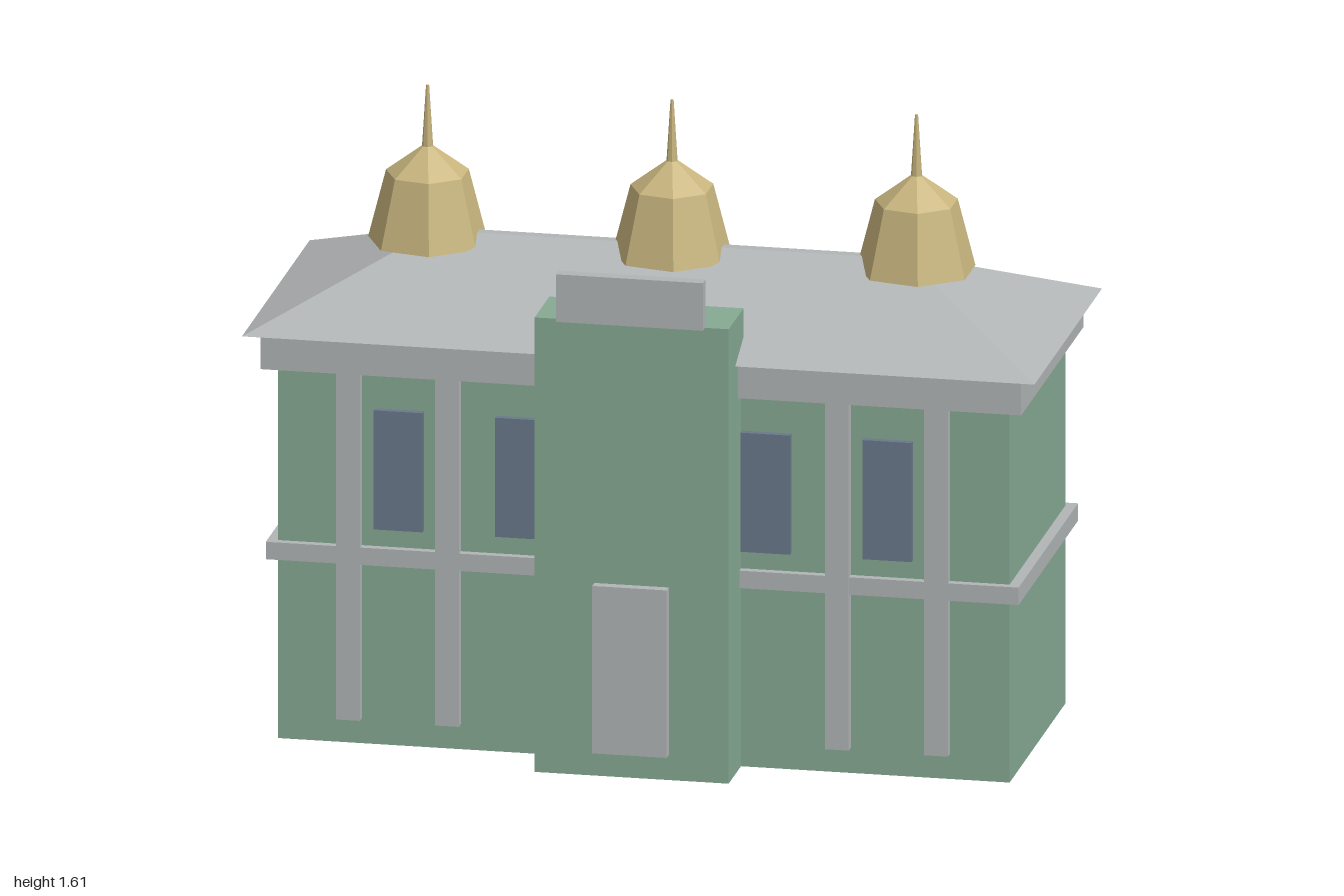
import * as THREE from 'three';

const material = (name, color) => {
  const m = new THREE.MeshStandardMaterial({ color, flatShading: true });
  m.name = name;
  return m;
};

export function createModel() {
  const model = new THREE.Group();
  model.name = 'domedHall';

  const green = material('wallGreen', 0x86aa94);
  const grey = material('trimGrey', 0xb2b5b6);
  const blue = material('windowBlue', 0x69798a);
  const gold = material('domeGold', 0xc8b57e);

  const add = (name, geometry, mat) => {
    const mesh = new THREE.Mesh(geometry, mat);
    mesh.name = name;
    model.add(mesh);
    return mesh;
  };

  // Box given by its extents on each axis
  const block = (name, mat, [x0, x1], [y0, y1], [z0, z1]) => {
    const mesh = add(name, new THREE.BoxGeometry(x1 - x0, y1 - y0, z1 - z0), mat);
    mesh.position.set((x0 + x1) / 2, (y0 + y1) / 2, (z0 + z1) / 2);
    return mesh;
  };

  // Main building, floor band and cornice
  block('walls', green, [-0.923, 0.923], [0, 0.97], [-0.392, 0.29]);
  block('floorBand', grey, [-0.95, 0.95], [0.467, 0.512], [-0.413, 0.311]);
  block('cornice', grey, [-0.96, 0.96], [0.963, 1.055], [-0.43, 0.328]);

  // Hipped roof: a box whose top is drawn in to a narrow ridge
  const roofGeometry = new THREE.BoxGeometry(2, 0.18, 0.825);
  const p = roofGeometry.attributes.position;
  for (let i = 0; i < p.count; i++) {
    if (p.getY(i) > 0) {
      p.setX(i, Math.sign(p.getX(i)) * 0.6);
      p.setZ(i, Math.sign(p.getZ(i)) * 0.014);
    }
  }
  roofGeometry.computeVertexNormals();
  add('roof', roofGeometry, grey).position.set(0, 1.145, -0.052);

  // Pilasters and windows, mirrored about the entrance
  for (const side of [-1, 1]) {
    for (const x of [0.492, 0.742]) {
      const c = side * x;
      block('pilaster', grey, [c - 0.03, c + 0.03], [0.065, 0.965], [0.28, 0.315]);
    }
    for (const x of [0.31, 0.617]) {
      const c = side * x;
      block('window', blue, [c - 0.062, c + 0.062], [0.56, 0.868], [0.28, 0.308]);
    }
  }

  // Entrance tower with door and parapet panel
  block('entranceTower', green, [-0.245, 0.245], [0, 1.175], [0.26, 0.44]);
  block('door', grey, [-0.094, 0.094], [0.065, 0.498], [0.43, 0.466]);
  block('parapetPanel', grey, [-0.185, 0.185], [1.175, 1.298], [0.432, 0.466]);

  // Seven-sided domes with spires along the ridge
  const profile = [[0, 0], [0.15, 0], [0.105, 0.175], [0.014, 0.243], [0.004, 0.4], [0, 0.4]]
    .map(([r, y]) => new THREE.Vector2(r, y));
  const domeGeometry = new THREE.LatheGeometry(profile, 7, -Math.PI / 2);
  for (const x of [-0.617, 0, 0.617]) {
    add('dome', domeGeometry, gold).position.set(x, 1.205, -0.053);
  }

  return model;
}
